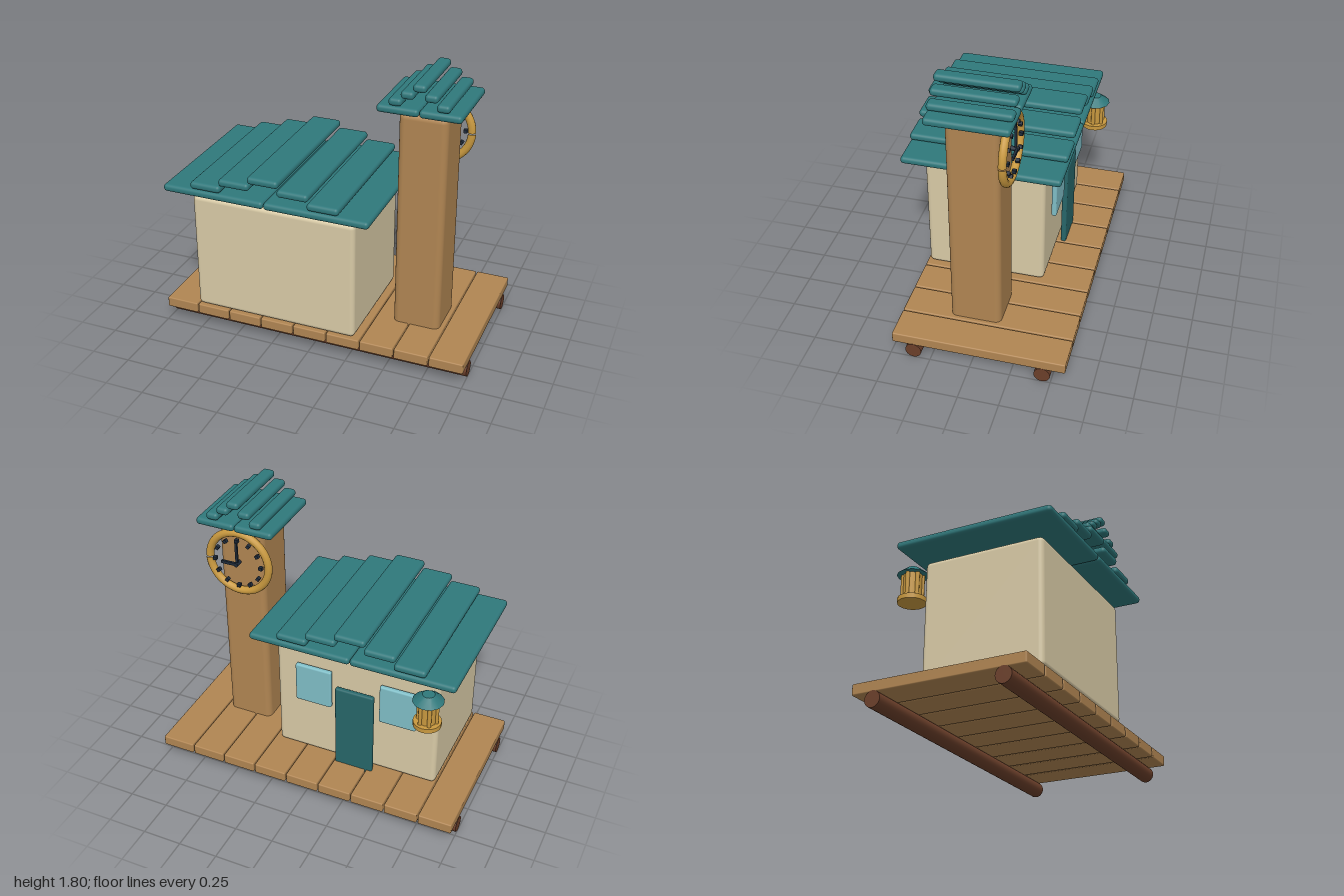
import * as THREE from 'three';
import { RoundedBoxGeometry } from 'three/addons/geometries/RoundedBoxGeometry.js';

const paint = (color) => new THREE.MeshStandardMaterial({ color });

export function createModel() {
  const model = new THREE.Group();
  const wood = paint(0xb08552);
  const bark = paint(0x6b3f2a);
  const plaster = paint(0xd8caa6);
  const teal = paint(0x2f787b);
  const doorTeal = paint(0x276669);
  const glass = paint(0x7fbdc6);
  const gold = paint(0xc9993f);
  const dark = paint(0x1f2a38);

  function add(parent, name, geometry, material, x = 0, y = 0, z = 0) {
    const mesh = new THREE.Mesh(geometry, material);
    mesh.name = name;
    mesh.position.set(x, y, z);
    parent.add(mesh);
    return mesh;
  }

  function group(name, x = 0, y = 0, z = 0) {
    const g = new THREE.Group();
    g.name = name;
    g.position.set(x, y, z);
    model.add(g);
    return g;
  }

  // Rounded block given by its extents along each axis
  function block(parent, name, material, [x0, x1], [y0, y1], [z0, z1], radius) {
    const geometry = new RoundedBoxGeometry(x1 - x0, y1 - y0, z1 - z0, 3, radius);
    return add(parent, name, geometry, material, (x0 + x1) / 2, (y0 + y1) / 2, (z0 + z1) / 2);
  }

  // Deck of nine planks resting on two logs
  const deck = group('deck');
  for (let i = 0; i < 9; i++) {
    const x = -0.891 + i * 0.2228;
    block(deck, 'deckPlank', wood, [x - 0.107, x + 0.107], [0.092, 0.16], [-0.587, 0.488], 0.008);
  }
  for (const z of [0.355, -0.447]) {
    const log = add(deck, 'log', new THREE.CylinderGeometry(0.05, 0.05, 2, 24), bark, 0, 0.05, z);
    log.rotation.z = Math.PI / 2;
  }

  // House and tower bodies
  block(model, 'houseWalls', plaster, [-0.777, 0.295], [0.16, 0.943], [-0.287, 0.473], 0.03);
  block(model, 'tower', wood, [0.45, 0.75], [0.1, 1.583], [-0.127, 0.19], 0.04);

  // Stepped roof: two wide boards, then narrower pairs climbing to a ridge board
  function roof(name, cx, y, boardWidth, step, wideWidth, z) {
    const g = group(name, cx, y, 0);
    const board = (label, x, level, w) =>
      block(g, label, teal, [x - w / 2, x + w / 2], [level * 0.0505, level * 0.0505 + 0.0475], z, 0.021);
    for (const side of [-1, 1]) {
      board('eaveBoard', side * (wideWidth / 2 + 0.001), 0, wideWidth);
      board('lowerBoard', side * step * 2, 1, boardWidth);
      board('upperBoard', side * step, 2, boardWidth);
    }
    board('ridgeBoard', 0, 3, boardWidth);
  }
  roof('houseRoof', -0.243, 1.0, 0.2, 0.19, 0.664, [-0.41, 0.587]);
  roof('towerRoof', 0.598, 1.6, 0.08, 0.0715, 0.254, [-0.216, 0.278]);

  // Door and two windows on the back wall
  block(model, 'door', doorTeal, [-0.375, -0.122], [0.1, 0.745], [-0.342, -0.307], 0.012);
  for (const x of [0.03, -0.53]) {
    block(model, 'window', glass, [x - 0.12, x + 0.12], [0.57, 0.842], [-0.33, -0.297], 0.012);
  }

  // Clock on the back of the tower: ring, hour marks and hands
  const clock = group('clock', 0.6, 1.366, -0.158);
  add(clock, 'clockRing', new THREE.TorusGeometry(0.201, 0.025, 12, 64, Math.PI * 2 - 0.03), gold)
    .rotation.z = 0.015;
  for (let i = 0; i < 12; i++) {
    const a = (i / 12) * Math.PI * 2;
    const mark = add(clock, 'hourMark', new THREE.BoxGeometry(0.022, 0.022, 0.025), dark,
      Math.cos(a) * 0.157, Math.sin(a) * 0.157, -0.016);
    mark.rotation.z = a;
  }
  add(clock, 'minuteHand', new THREE.BoxGeometry(0.015, 0.155, 0.014), dark, 0, 0.07, -0.026);
  add(clock, 'hourHand', new THREE.BoxGeometry(0.11, 0.02, 0.014), dark, 0.048, 0, -0.034);
  add(clock, 'clockHub', new THREE.CylinderGeometry(0.014, 0.014, 0.05, 12), dark, 0, 0, -0.02)
    .rotation.x = Math.PI / 2;

  // Lantern by the back corner of the house
  const lantern = group('lantern', -0.743, 0, -0.39);
  add(lantern, 'lanternCap', new THREE.CylinderGeometry(0.038, 0.096, 0.046, 12), teal, 0, 0.918, 0);
  add(lantern, 'lanternBase', new THREE.CylinderGeometry(0.086, 0.086, 0.03, 20), gold, 0, 0.73, 0);
  add(lantern, 'lanternGlass', new THREE.CylinderGeometry(0.056, 0.056, 0.155, 16), gold, 0, 0.82, 0);
  for (let i = 0; i < 6; i++) {
    const a = (i / 6) * Math.PI * 2;
    add(lantern, 'lanternPost', new THREE.CylinderGeometry(0.013, 0.013, 0.155, 8), gold,
      Math.cos(a) * 0.057, 0.82, Math.sin(a) * 0.057);
  }

  return model;
}
